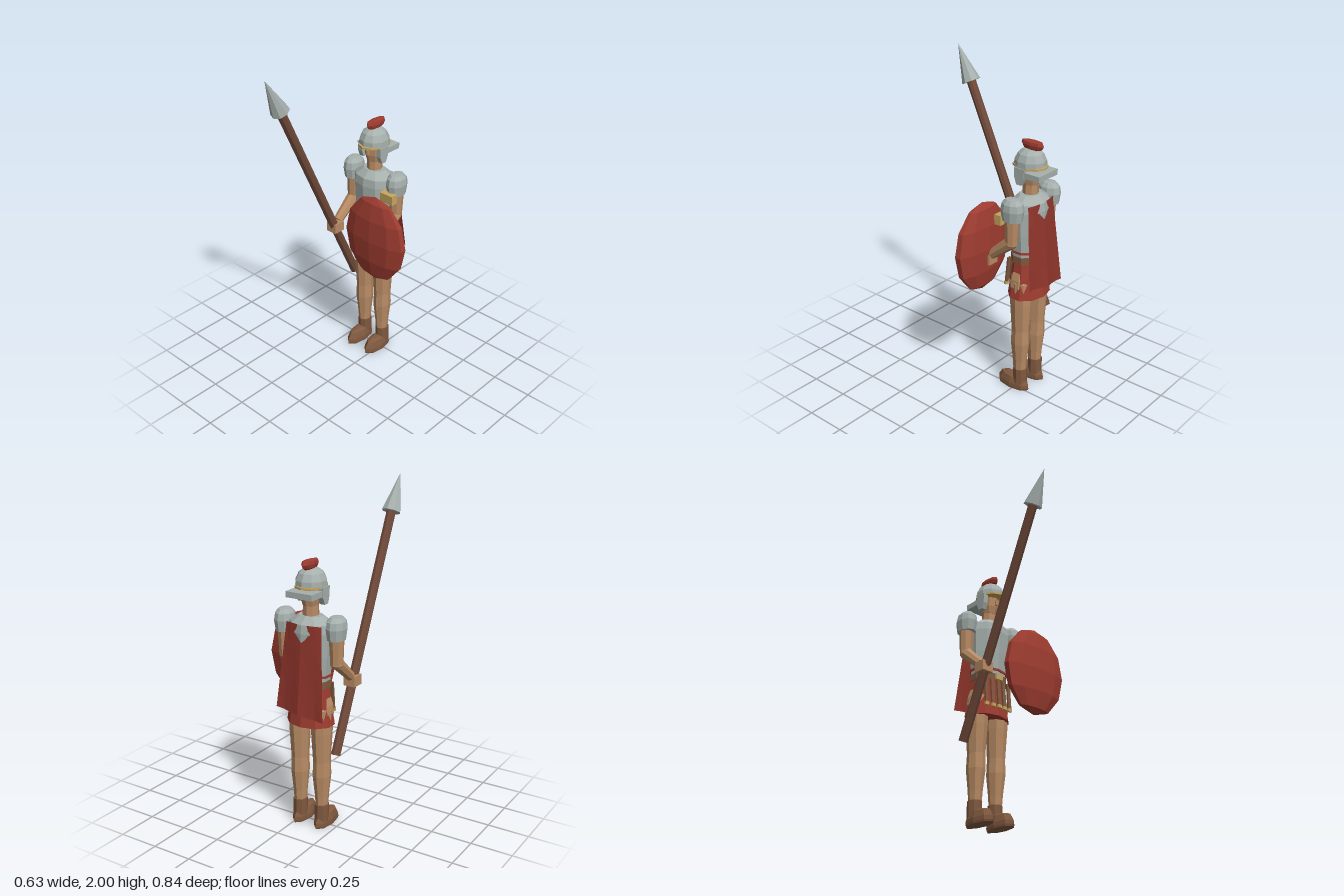
import * as THREE from 'three';

const paint = (name, color) => {
  const m = new THREE.MeshStandardMaterial({ color });
  m.name = name;
  return m;
};

export function createModel() {
  const skin = paint('skin', 0xb88b64);
  const red = paint('red cloth', 0x9e3c30);
  const steel = paint('steel', 0xa6b0ad);
  const leather = paint('leather', 0x80593f);
  const wood = paint('wood', 0x704a3a);
  const gold = paint('gold', 0xc6a560);
  const capeRed = paint('cape red', 0x8f352b);
  capeRed.side = THREE.DoubleSide;

  const CX = -0.09, CZ = -0.272; // body axis
  const model = new THREE.Group();
  model.name = 'spearman';

  // Every part is faceted: split the faces and use face normals
  function add(name, geo, mat, x = 0, y = 0, z = 0) {
    const g = geo.index ? geo.toNonIndexed() : geo;
    g.computeVertexNormals();
    const mesh = new THREE.Mesh(g, mat);
    mesh.name = name;
    mesh.position.set(x, y, z);
    model.add(mesh);
    return mesh;
  }
  const box = (name, mat, w, h, d, x, y, z) => add(name, new THREE.BoxGeometry(w, h, d), mat, x, y, z);
  // Turned part with an oval section; profile is [radius, y] from the bottom up
  function turned(name, mat, profile, sides, x, z, sx = 1, sz = 1) {
    const g = new THREE.LatheGeometry(profile.map(p => new THREE.Vector2(...p)), sides);
    g.scale(sx, 1, sz);
    return add(name, g, mat, x, 0, z);
  }
  // Tapered rod between two points
  function rod(name, mat, a, b, ra, rb, sides = 8) {
    const A = new THREE.Vector3(...a), B = new THREE.Vector3(...b);
    const dir = B.clone().sub(A);
    const mesh = add(name, new THREE.CylinderGeometry(rb, ra, dir.length(), sides), mat);
    mesh.position.copy(A).add(B).multiplyScalar(0.5);
    mesh.quaternion.setFromUnitVectors(new THREE.Vector3(0, 1, 0), dir.normalize());
    return mesh;
  }

  // Legs and shoes
  for (const side of [-1, 1]) {
    const x = CX + side * 0.075;
    turned('leg', skin, [[0, 0.1], [0.036, 0.13], [0.04, 0.2], [0.053, 0.33], [0.05, 0.42], [0.06, 0.6], [0.062, 0.75], [0, 0.8]],
      8, x, -0.277, 1, 1.15);
    turned('ankleBoot', leather, [[0.042, 0.04], [0.042, 0.145], [0, 0.145]], 8, x, -0.28, 1, 1.08);
    turned('shoe', leather, [[0, 0], [0.96, 0], [1, 0.012], [0.98, 0.035], [0.75, 0.075], [0.4, 0.087], [0, 0.088]],
      8, x, -0.231, 0.049, 0.116);
  }

  // Hips and skirt
  turned('hips', skin, [[0, 0.68], [0.122, 0.69], [0.142, 0.72], [0.138, 0.77], [0.122, 0.82], [0, 0.86]], 10, CX, CZ, 1, 0.62);
  turned('skirt', red, [[0, 0.66], [0.14, 0.65], [0.148, 0.65], [0.132, 0.75], [0.115, 0.88], [0, 0.88]], 10, CX, -0.277, 1, 0.76);

  // Hanging straps with metal tips
  for (let i = -2; i <= 2; i++) {
    const x = CX + i * 0.043, z = -0.172 - Math.abs(i) * 0.005;
    const strap = box('skirtStrap', leather, 0.022, 0.17, 0.012, x, 0.795, z);
    strap.rotation.x = -0.1;
    box('strapTip', gold, 0.026, 0.02, 0.014, x, 0.708, z + 0.009);
  }

  // Cuirass, belt and tunic trim
  turned('cuirass', steel, [[0, 0.9], [0.116, 0.9], [0.12, 0.96], [0.131, 1.06], [0.139, 1.2], [0.13, 1.25], [0.075, 1.29], [0, 1.29]],
    10, CX, CZ, 1, 0.76);
  turned('belt', leather, [[0.117, 0.875], [0.121, 0.875], [0.121, 0.918], [0.1, 0.918]], 10, CX, CZ, 1, 0.8);
  turned('tunicTrim', red, [[0.1, 0.938], [0.125, 0.94], [0.125, 0.953], [0.1, 0.955]], 10, CX, CZ, 1, 0.77);
  box('buckle', gold, 0.05, 0.035, 0.012, CX, 0.897, -0.172);

  // Neck, head and nose
  turned('neck', skin, [[0.048, 1.27], [0.045, 1.37]], 8, CX, CZ);
  turned('head', skin, [[0, 1.33], [0.045, 1.345], [0.056, 1.39], [0.058, 1.46], [0, 1.48]], 8, CX, CZ, 1, 1.08);
  box('nose', skin, 0.014, 0.03, 0.016, CX, 1.41, -0.209);

  // Helmet with brim, cheek guards, neck guard and crest
  turned('helmetDome', steel, [[0, 1.45], [0.09, 1.45], [0.088, 1.49], [0.07, 1.53], [0.04, 1.553], [0, 1.558]], 10, CX, -0.268, 1, 1.07);
  turned('helmetBrim', gold, [[0, 1.448], [0.095, 1.45], [0.095, 1.462], [0, 1.463]], 10, CX, -0.267, 0.93, 1.14);
  for (const side of [-1, 1]) {
    const guard = new THREE.Shape([[-0.036, 0], [0.036, 0], [0.032, -0.06], [0.015, -0.1], [-0.018, -0.1], [-0.032, -0.06]]
      .map(p => new THREE.Vector2(...p)));
    const g = new THREE.ExtrudeGeometry(guard, { depth: 0.032, bevelEnabled: false });
    g.translate(0, 0, -0.016).rotateY(Math.PI / 2);
    add('cheekGuard', g, steel, CX + side * 0.074, 1.456, -0.255);
  }
  box('neckGuard', steel, 0.172, 0.034, 0.105, CX, 1.42, -0.342);
  turned('crest', red, [[0, 1.545], [0.6, 1.55], [0.85, 1.56], [1, 1.58], [0.9, 1.598], [0, 1.602]], 8, CX, -0.279, 0.03, 0.078);

  // Shoulder guards and arms
  for (const side of [-1, 1]) {
    const x = CX + side * 0.172;
    const elbow = [x, 1.035, -0.275], wrist = [x, 0.915, -0.13];
    turned('shoulderGuard', steel, [[0, 1.17], [0.05, 1.175], [0.058, 1.24], [0.052, 1.28], [0.034, 1.303], [0, 1.306]],
      10, x, -0.278, 1, 1.28);
    rod('upperArm', skin, [x, 1.22, -0.278], elbow, 0.046, 0.038);
    add('elbow', new THREE.SphereGeometry(0.04, 8, 5), skin, ...elbow);
    rod('forearm', skin, elbow, wrist, 0.039, 0.03);
    box('hand', skin, 0.074, 0.062, 0.075, x, 0.885, -0.104);
  }
  const band = box('armBand', gold, 0.096, 0.06, 0.045, 0.08, 1.17, -0.207);
  band.rotation.x = 0.05;

  // Cape: a thin curved cloth flaring toward the hem
  const cape = new THREE.PlaneGeometry(2, 1, 6, 4);
  const p = cape.attributes.position;
  for (let i = 0; i < p.count; i++) {
    const u = p.getX(i), v = 0.5 - p.getY(i);
    const fold = 0.008 * v * Math.cos(u * 6);
    p.setXYZ(i, CX + u * (0.115 + 0.04 * v), 1.25 - 0.52 * v + 0.02 * u * v,
      -0.365 - 0.045 * v + 0.02 * u * u - fold);
  }
  add('cape', cape, capeRed);

  // Oval shield
  const shield = new THREE.SphereGeometry(1, 10, 6);
  shield.rotateY(Math.PI / 2).scale(0.229, 0.28, 0.062);
  add('shield', shield, red, 0.099, 0.955, -0.072);

  // Spear leaning forward through the right hand
  const sx = -0.26;
  rod('spearShaft', wood, [sx, 0.478, -0.28], [sx, 1.795, 0.32], 0.028, 0.028);
  rod('spearHead', steel, [sx, 1.79, 0.318], [sx, 2, 0.42], 0.057, 0);

  return model;
}
